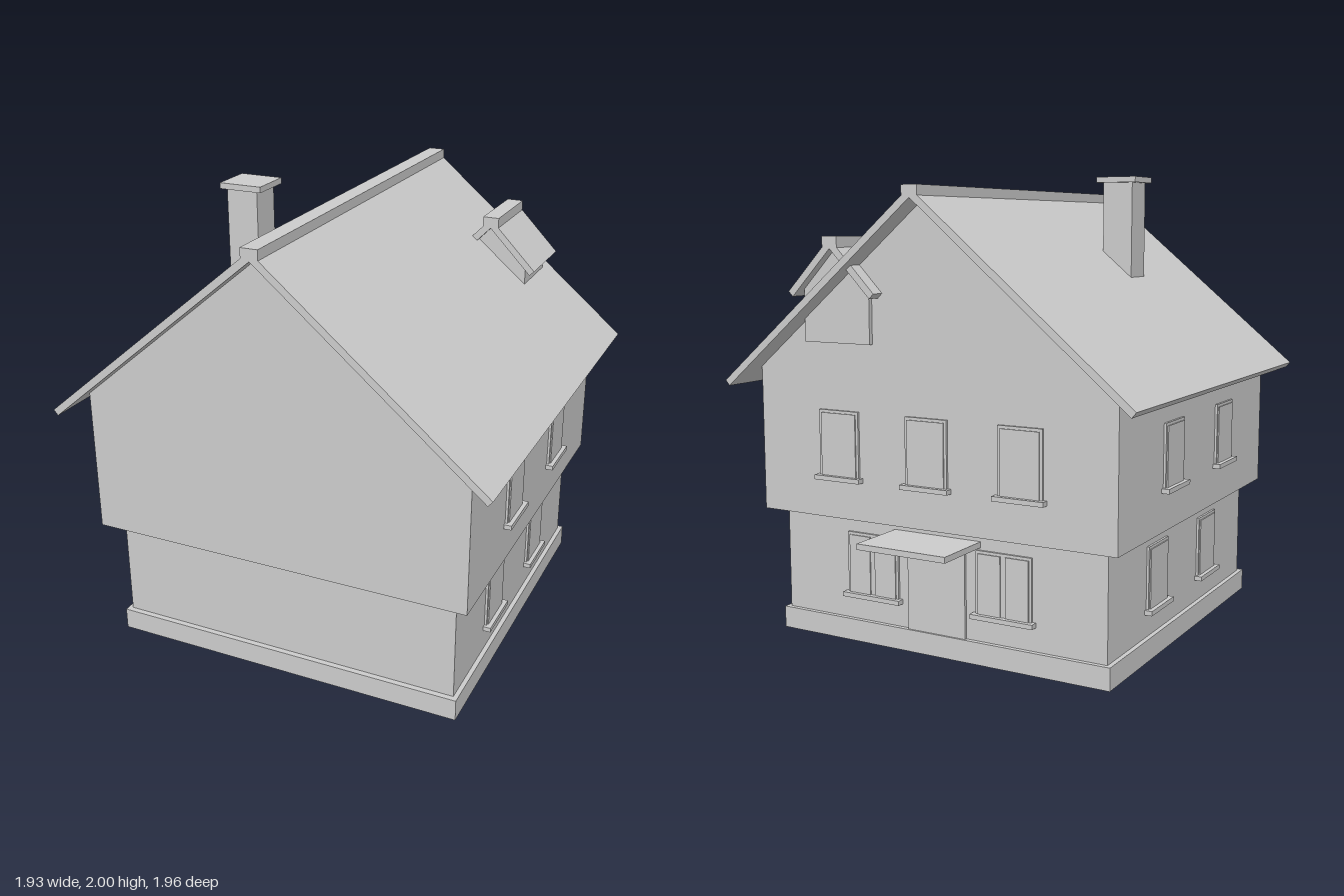
import * as THREE from 'three';

export function createModel() {
  const house = new THREE.Group();
  house.name = 'house';
  const plaster = new THREE.MeshStandardMaterial({ color: 0xcccccc });
  plaster.name = 'plain grey';

  const add = (name, geometry, parent = house) => {
    const mesh = new THREE.Mesh(geometry, plaster);
    mesh.name = name;
    parent.add(mesh);
    return mesh;
  };

  // Box given by its low and high limits on each axis
  const box = (name, x0, x1, y0, y1, z0, z1, parent) => {
    const g = new THREE.BoxGeometry(x1 - x0, y1 - y0, z1 - z0);
    g.translate((x0 + x1) / 2, (y0 + y1) / 2, (z0 + z1) / 2);
    return add(name, g, parent);
  };

  // Outline in x and y, extruded from z0 to z1
  const prism = (name, points, z0, z1, parent) => {
    const shape = new THREE.Shape(points.map(([x, y]) => new THREE.Vector2(x, y)));
    const g = new THREE.ExtrudeGeometry(shape, { depth: z1 - z0, bevelEnabled: false });
    g.translate(0, 0, z0);
    return add(name, g, parent);
  };

  // Pair of sloping slabs: inner apex, inner eave and slab thickness
  const gableRoof = (name, cx, apexY, halfWidth, eaveY, thick, z0, z1, parent) => {
    const drop = apexY - eaveY;
    const len = Math.hypot(halfWidth, drop);
    const nx = (drop / len) * thick, ny = (halfWidth / len) * thick;
    return prism(name, [
      [cx, apexY], [cx + halfWidth, eaveY], [cx + halfWidth + nx, eaveY + ny],
      [cx, apexY + (thick * len) / halfWidth],
      [cx - halfWidth - nx, eaveY + ny], [cx - halfWidth, eaveY],
    ], z0, z1, parent);
  };

  // Storeys
  box('plinth', -0.8, 0.8, 0, 0.095, -0.73, 0.83);
  box('groundFloor', -0.78, 0.78, 0.09, 0.555, -0.71, 0.805);
  prism('upperFloor', [
    [-0.85, 0.55], [0.85, 0.55], [0.85, 1.18], [0, 1.89], [-0.85, 1.18],
  ], -0.78, 0.88);

  // Main roof
  gableRoof('roof', 0, 1.89, 0.945, 1.1, 0.03, -0.885, 0.98);
  box('ridgeCap', -0.037, 0.037, 1.895, 1.94, -0.885, 0.98);

  // Chimney
  const chimney = new THREE.Group();
  chimney.name = 'chimney';
  house.add(chimney);
  box('chimneyStack', -0.45, -0.31, 1.45, 1.975, 0.215, 0.36, chimney);
  box('chimneyCap', -0.475, -0.285, 1.975, 2, 0.19, 0.375, chimney);

  // Small dormer, standing slightly proud of the back gable
  const dormer = new THREE.Group();
  dormer.name = 'dormer';
  house.add(dormer);
  prism('dormerBody', [
    [0.26, 1.3], [0.59, 1.3], [0.59, 1.52], [0.425, 1.69], [0.26, 1.52],
  ], -0.8, -0.515, dormer);
  gableRoof('dormerRoof', 0.425, 1.69, 0.195, 1.49, 0.03, -0.84, -0.485, dormer);
  box('dormerRidgeCap', 0.388, 0.462, 1.69, 1.74, -0.84, -0.485, dormer);

  // Window built facing +z about its bottom centre, with a projecting sill
  const addWindow = (x, y, z, turn, width, height, panes = 1) => {
    const win = new THREE.Group();
    win.name = 'window';
    win.position.set(x, y, z);
    win.rotation.y = turn;
    house.add(win);
    const h = width / 2;
    box('windowFrame', -h, h, 0.015, height, -0.005, 0.01, win);
    const paneWidth = width / panes;
    for (let i = 0; i < panes; i++) {
      const a = -h + i * paneWidth;
      box('windowPane', a + 0.012, a + paneWidth - 0.012, 0.02, height - 0.012, 0.009, 0.015, win);
    }
    box('windowSill', -h - 0.015, h + 0.015, 0, 0.02, -0.005, 0.033, win);
  };

  // Side windows
  for (const side of [-1, 1]) {
    for (const z of [0.345, -0.245]) addWindow(side * 0.85, 0.715, z, side * Math.PI / 2, 0.2, 0.285);
    for (const z of [0.335, -0.233]) addWindow(side * 0.78, 0.195, z, side * Math.PI / 2, 0.207, 0.285);
  }

  // Back windows
  for (const x of [-0.435, 0, 0.435]) addWindow(x, 0.715, -0.78, Math.PI, 0.2, 0.3);
  for (const x of [-0.32, 0.32]) addWindow(x, 0.195, -0.71, Math.PI, 0.26, 0.285, 2);

  // Back door and canopy
  box('door', -0.14, 0.14, 0.095, 0.485, -0.722, -0.7);
  box('canopy', -0.21, 0.21, 0.49, 0.515, -0.98, -0.7);

  return house;
}
